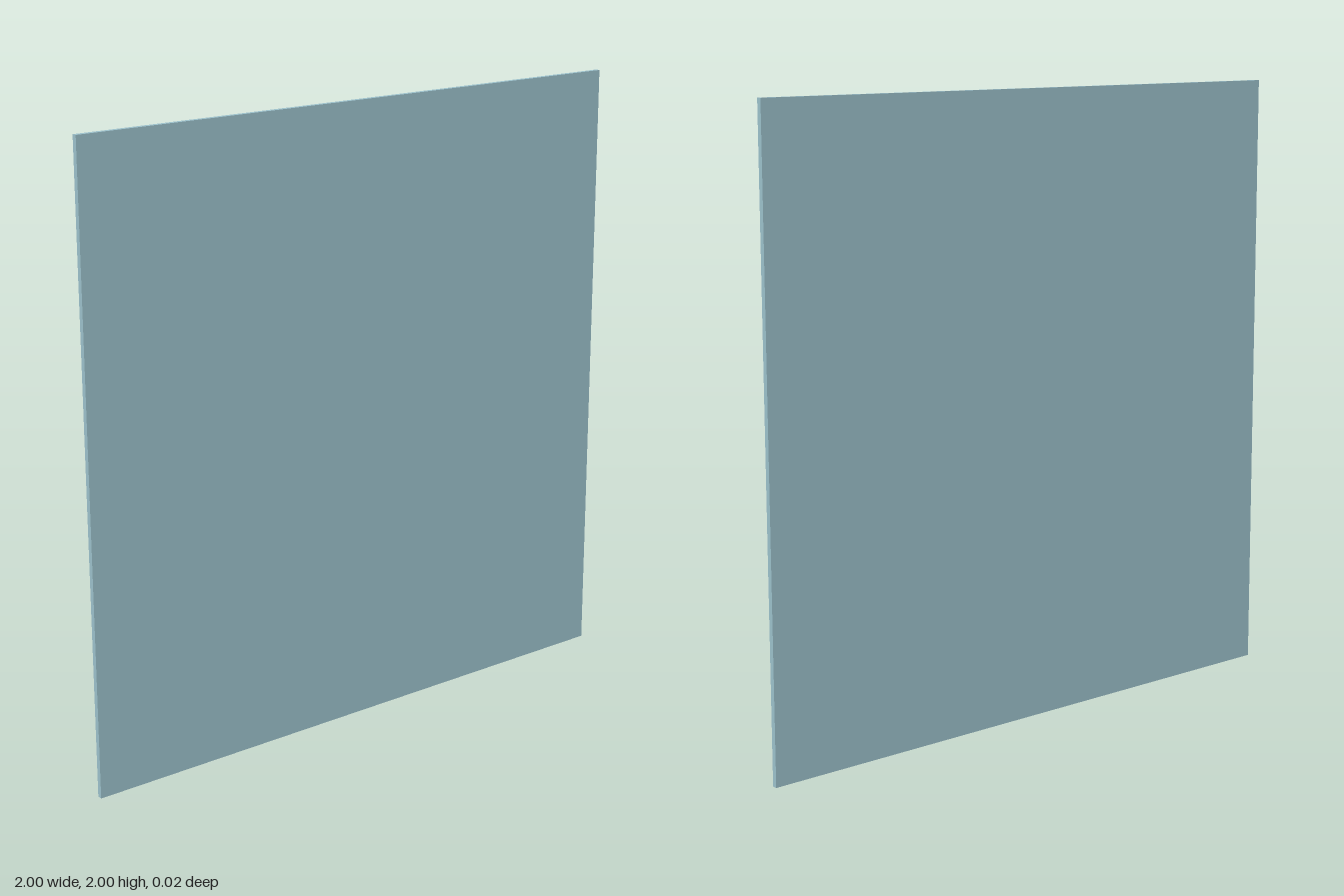
import * as THREE from 'three';

const THICKNESS = 0.016;

// Corner points of the crack network, as [x, y]
const P = {
  topLeft: [-1, 2], topRight: [1, 2], bottomLeft: [-1, 0], bottomRight: [1, 0],
  A: [-0.568, 2], B: [-0.462, 1.438], C: [-0.64, 1.288], D: [-1, 1.243],
  E: [-0.095, 1.403], F: [0.235, 2], G: [0.323, 2], H: [0.06, 1.203],
  I: [0.697, 1.298], J: [0.742, 1.328], K: [1, 1.313], L: [-0.37, 0.643],
  M: [0, 0.632], N: [0.028, 0.605], O: [0.43, 0.584], Q: [0.457, 0.567],
  R: [-0.553, 0.528], S: [-1, 0.597], T: [-0.573, 0], U: [-0.006, 0],
  V: [0.597, 0], W: [1, 0.574],
};

// Each shard lists its corners anticlockwise
const SHARDS = {
  shardTopLeft: 'D C B A topLeft',
  shardTopMiddle: 'A B E F',
  shardTopPeak: 'F E H I J G',
  shardTopRight: 'G J K topRight',
  shardMiddleLeft: 'S R L C D',
  shardCentre: 'C L M H E B',
  shardCentreRight: 'H M N O I',
  shardMiddleRight: 'I O Q W K J',
  shardBottomLeft: 'bottomLeft T R S',
  shardBottomMiddleLeft: 'T U N M L R',
  shardBottomMiddleRight: 'U V Q O N',
  shardBottomRight: 'V bottomRight W Q',
};

export function createModel() {
  const glass = new THREE.MeshStandardMaterial({ color: 0x9bc0ca });
  glass.name = 'pale blue glass';

  const pane = new THREE.Group();
  pane.name = 'crackedPane';

  // Flat glass shards that fit together edge to edge
  for (const [name, corners] of Object.entries(SHARDS)) {
    const outline = corners.split(' ').map((key) => new THREE.Vector2(...P[key]));
    const geometry = new THREE.ExtrudeGeometry(new THREE.Shape(outline), {
      depth: THICKNESS,
      bevelEnabled: false,
    });
    geometry.translate(0, 0, -THICKNESS / 2);
    const shard = new THREE.Mesh(geometry, glass);
    shard.name = name;
    pane.add(shard);
  }
  return pane;
}
